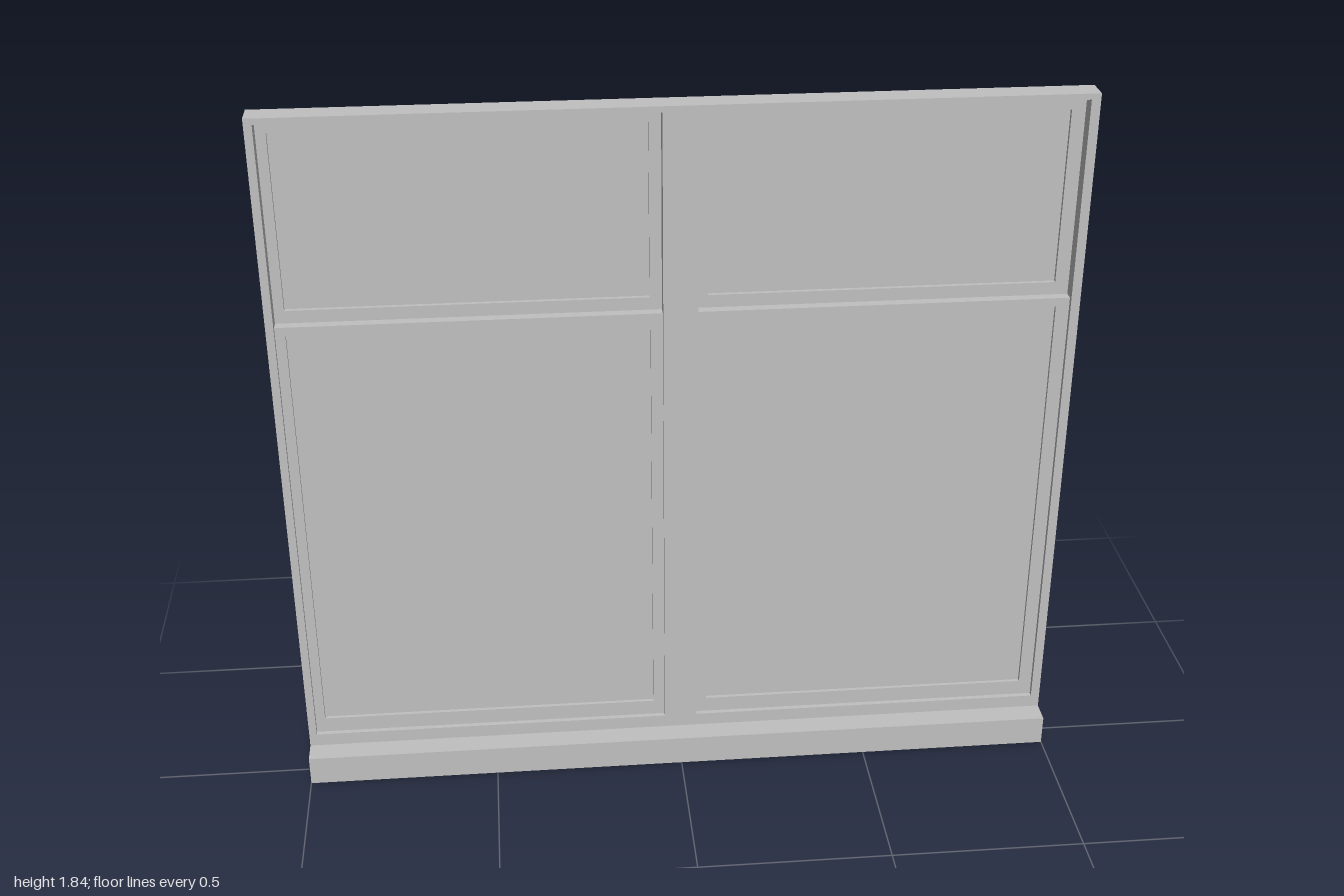
import * as THREE from 'three';

const paint = new THREE.MeshStandardMaterial({ color: 0xc0c0c0 });
paint.name = 'grey paint';

// Rectangle given as [x0, x1, y0, y1]
function trace(path, [x0, x1, y0, y1]) {
  path.moveTo(x0, y0);
  path.lineTo(x1, y0);
  path.lineTo(x1, y1);
  path.lineTo(x0, y1);
  path.closePath();
  return path;
}

// Flat panel with rectangular openings, filling z0 to z1
function panel(name, outer, openings, z0, z1) {
  const shape = trace(new THREE.Shape(), outer);
  for (const o of openings) shape.holes.push(trace(new THREE.Path(), o));
  const geometry = new THREE.ExtrudeGeometry(shape, { depth: z1 - z0, bevelEnabled: false });
  const mesh = new THREE.Mesh(geometry, paint);
  mesh.name = name;
  mesh.position.z = z0;
  return mesh;
}

// Sash: border frame with a thin pane set midway in its depth
function sash(name, outer, inner, z0, z1) {
  const group = new THREE.Group();
  group.name = name;
  const mid = (z0 + z1) / 2;
  group.add(
    panel('sashFrame', outer, [inner], z0, z1),
    panel('pane', inner, [], mid - 0.003, mid + 0.003)
  );
  return group;
}

export function createModel() {
  const model = new THREE.Group();
  model.name = 'doubleSashWindow';
  const back = -0.0625, middle = -0.036, front = 0.002;

  // Outer frame with a central mullion
  const bays = [
    { side: 'right', x: [-0.98, -0.04], pane: [-0.955, -0.07] },
    { side: 'left', x: [0.046, 0.977], pane: [0.074, 0.943] },
  ];
  model.add(panel('outerFrame', [-1, 1, 0.045, 1.84],
    bays.map(b => [...b.x, 0.115, 1.825]), back, front));

  // Upper sashes sit flush with the back, lower sashes in front of them
  for (const { side, x, pane } of bays) {
    model.add(
      sash(side + 'UpperSash', [...x, 1.31, 1.825], [...pane, 1.343, 1.79], back, middle),
      sash(side + 'LowerSash', [...x, 0.115, 1.31], [...pane, 0.157, 1.287], middle, -0.011)
    );
  }

  // Sill: L-shaped section running the full width
  const section = new THREE.Shape([
    [front, 0.045], [0.0475, 0.045], [0.0475, 0], [0.0625, 0], [0.0625, 0.08], [front, 0.08],
  ].map(([z, y]) => new THREE.Vector2(-z, y)));
  const sill = new THREE.Mesh(
    new THREE.ExtrudeGeometry(section, { depth: 2, bevelEnabled: false }), paint);
  sill.name = 'sill';
  sill.rotation.y = Math.PI / 2;
  sill.position.x = -1;
  model.add(sill);

  return model;
}
